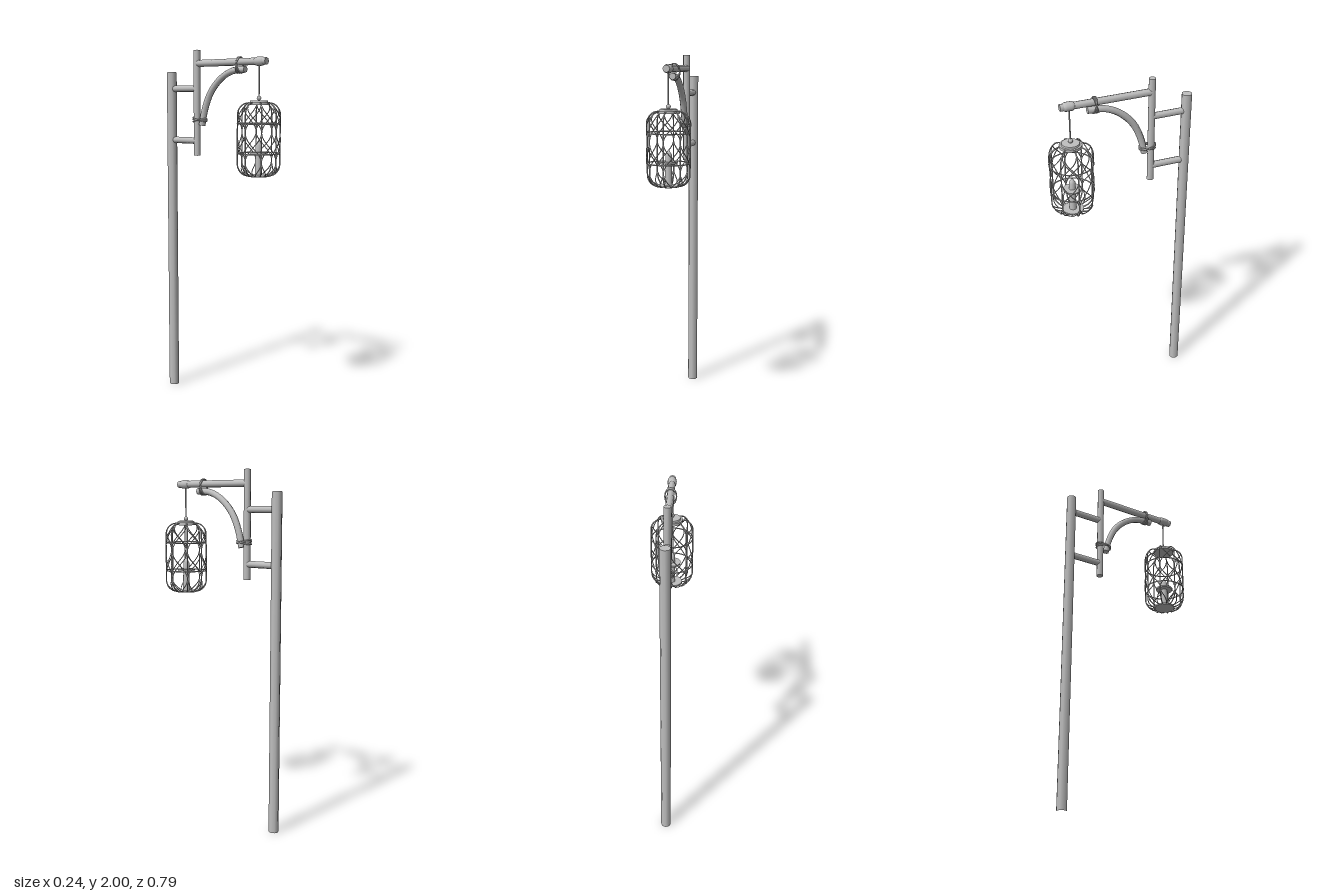
import * as THREE from 'three';

const V = (x, y, z) => new THREE.Vector3(x, y, z);
const UP = V(0, 1, 0);

export function createModel() {
  const model = new THREE.Group();
  model.name = 'lanternPost';
  const grey = new THREE.MeshStandardMaterial({ color: 0xbfbfbf });
  grey.name = 'grey metal';

  const add = (parent, name, geometry) => {
    const mesh = new THREE.Mesh(geometry, grey);
    mesh.name = name;
    parent.add(mesh);
    return mesh;
  };
  // Round bar between two points
  const bar = (parent, name, a, b, r0, r1 = r0, sides = 8, open = false) => {
    const d = b.clone().sub(a);
    const mesh = add(parent, name, new THREE.CylinderGeometry(r1, r0, d.length(), sides, 1, open));
    mesh.position.copy(a).addScaledVector(d, 0.5);
    mesh.quaternion.setFromUnitVectors(UP, d.normalize());
    return mesh;
  };
  const tube = (parent, name, points, r, segs, sides, closed = false) =>
    add(parent, name, new THREE.TubeGeometry(
      new THREE.CatmullRomCurve3(points, closed), segs, r, sides, closed));

  // Main pole: open at the foot, closed on top
  bar(model, 'mainPole', V(0, 0, -0.367), V(0, 1.88, -0.367), 0.0285, 0.0285, 8, true);
  const poleTop = add(model, 'poleTop', new THREE.CircleGeometry(0.0285, 8));
  poleTop.rotation.x = -Math.PI / 2;
  poleTop.position.set(0, 1.88, -0.367);

  // Upper post and the two rungs joining it to the pole
  bar(model, 'upperPost', V(0, 1.405, -0.17), V(0, 2, -0.17), 0.0195);
  for (const y of [1.785, 1.49])
    bar(model, 'rung', V(0, y, -0.35), V(0, y, -0.17), 0.0185);

  // Horizontal arm with a rounded collar near its end
  bar(model, 'arm', V(0, 1.925, -0.17), V(0, 1.925, 0.325), 0.0195);
  const collarProfile = [[0.019, 0.25], [0.023, 0.255], [0.0245, 0.265], [0.0245, 0.288],
    [0.023, 0.3], [0.019, 0.305]].map(([r, z]) => new THREE.Vector2(r, z));
  const collar = add(model, 'armCollar', new THREE.LatheGeometry(collarProfile, 12));
  collar.rotation.x = Math.PI / 2;
  collar.position.y = 1.925;

  // Curved brace with closed ends
  const bracePoints = [[0.18, 1.885], [0.09, 1.878], [0.01, 1.84], [-0.065, 1.765],
    [-0.11, 1.67], [-0.132, 1.58]].map(([z, y]) => V(0, y, z));
  tube(model, 'brace', bracePoints, 0.0185, 20, 8);
  bar(model, 'braceEnd', V(0, 1.885, 0.175), V(0, 1.885, 0.181), 0.0185);
  bar(model, 'braceEnd', V(0, 1.586, -0.1305), V(0, 1.579, -0.1322), 0.0185);

  // Rope bindings: tilted loops around two bars
  const binding = (position, rotation, length) => {
    const group = new THREE.Group();
    group.name = 'binding';
    for (const [offset, tilt] of [[-0.002, 0.24], [0.003, -0.2], [0, 0.05]]) {
      const loop = [];
      for (let i = 0; i < 16; i++) {
        const a = (i / 16) * Math.PI * 2;
        loop.push(V(Math.cos(a) * 0.03, Math.sin(a) * length,
          offset + Math.sin(a) * length * tilt));
      }
      tube(group, 'ropeLoop', loop, 0.004, 24, 5, true);
    }
    group.position.copy(position);
    group.rotation.x = rotation;
    model.add(group);
  };
  binding(V(0, 1.908, 0.14), 0, 0.043);
  binding(V(0, 1.61, -0.149), Math.PI / 2, 0.045);

  // Hanging lantern
  const lantern = new THREE.Group();
  lantern.name = 'lantern';
  lantern.position.z = 0.275;
  model.add(lantern);
  bar(lantern, 'cord', V(0, 1.72, 0), V(0, 1.925, 0), 0.004, 0.004, 6);
  const knob = add(lantern, 'knob', new THREE.SphereGeometry(0.013, 10, 6));
  knob.position.y = 1.731;
  bar(lantern, 'capRim', V(0, 1.695, 0), V(0, 1.71, 0), 0.06, 0.06, 20);
  bar(lantern, 'capTop', V(0, 1.71, 0), V(0, 1.719, 0), 0.049, 0.047, 20);
  bar(lantern, 'floor', V(0, 1.31, 0), V(0, 1.319, 0), 0.058, 0.058, 20);

  // Cage outline: straight sides with rounded shoulders
  const y0 = 1.314, y1 = 1.706, shoulder = 0.065, maxR = 0.116;
  const cageRadius = (y) => {
    const d = Math.min(y - y0, y1 - y);
    if (d >= shoulder) return maxR;
    const k = 1 - d / shoulder;
    return 0.056 + (maxR - 0.056) * Math.sqrt(Math.max(0, 1 - k * k));
  };
  const strand = (name, r, angleAt) => {
    const points = [];
    for (let i = 0; i <= 28; i++) {
      const t = (1 - Math.cos((i / 28) * Math.PI)) / 2;
      const y = y0 + (y1 - y0) * t;
      const a = angleAt(t), R = cageRadius(y);
      points.push(V(Math.cos(a) * R, y, Math.sin(a) * R));
    }
    tube(lantern, name, points, r, 36, 5);
  };
  // Upright ribs, with pairs of waves weaving between them
  const step = Math.PI / 4;
  for (let i = 0; i < 8; i++) {
    strand('rib', 0.0038, () => i * step);
    for (const s of [-1, 1])
      strand('wave', 0.0028, (t) => (i + 0.5 + s * 0.5 * Math.sin(t * Math.PI * 2.5)) * step);
  }
  // Two hoops around the straight part of the cage
  for (const y of [1.435, 1.595]) {
    const hoop = add(lantern, 'hoop',
      new THREE.TorusGeometry(cageRadius(y), 0.0035, 5, 40));
    hoop.rotation.x = Math.PI / 2;
    hoop.position.y = y;
  }

  // Candle on a stem with a flat dish
  bar(lantern, 'candleStem', V(0, 1.315, 0), V(0, 1.437, 0), 0.02, 0.018, 10);
  bar(lantern, 'candleDish', V(0, 1.433, 0), V(0, 1.443, 0), 0.048, 0.05, 16);
  const candleProfile = [[0.018, 1.44], [0.018, 1.48], [0.011, 1.492], [0, 1.51]];
  add(lantern, 'candle', new THREE.LatheGeometry(
    candleProfile.map(([r, y]) => new THREE.Vector2(r, y)), 12));

  return model;
}
